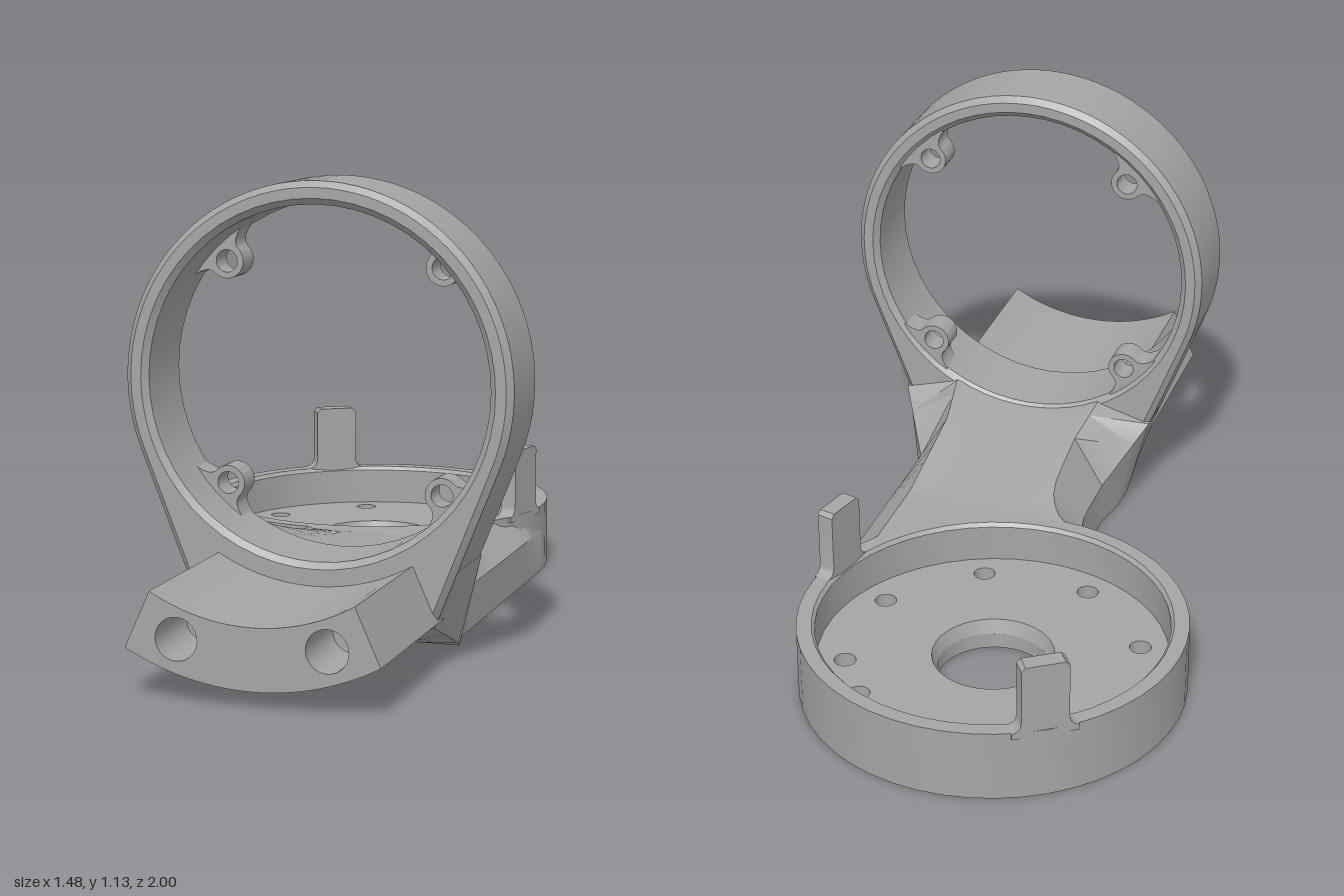
import * as THREE from 'three';
import { toCreasedNormals } from 'three/addons/utils/BufferGeometryUtils.js';

const grey = new THREE.MeshStandardMaterial({ color: 0xa5a5a5 });
grey.name = 'machined grey';

const clamp01 = (v) => Math.min(1, Math.max(0, v));
const lerp = THREE.MathUtils.lerp;

function part(name, geometry, parent) {
  const mesh = new THREE.Mesh(toCreasedNormals(geometry, 0.5), grey);
  mesh.name = name;
  parent.add(mesh);
  return mesh;
}

function circle(x, y, r, Type = THREE.Path) {
  const p = new Type();
  p.absarc(x, y, r, 0, Math.PI * 2, false);
  return p;
}

// Extrude a shape along z, from z0 to z1
function slab(shape, z0, z1, segments = 24) {
  return new THREE.ExtrudeGeometry(shape, { depth: z1 - z0, bevelEnabled: false, curveSegments: segments })
    .translate(0, 0, z0);
}

const RING_Y = 0.66;          // height of the ring axis
const DISC = { x: -0.2175, z: -1.038 }; // cup axis in the arm's own frame

// Shallow cup with drilled floor and two upright posts
function buildCup() {
  const cup = new THREE.Group();
  cup.name = 'cup';
  const wall = [[0.431, 0], [0.475, 0], [0.475, 0.18], [0.438, 0.18], [0.43, 0.17], [0.43, 0.02]]
    .map(([x, y]) => new THREE.Vector2(x, y));
  part('cupWall', new THREE.LatheGeometry(wall, 48), cup);

  const floorLayer = (y0, y1, centreR, blind) => {
    const s = circle(0, 0, 0.432, THREE.Shape);
    s.holes.push(circle(0, 0, centreR));
    for (let i = 0; i < 8; i++) {
      const a = 0.083 - i * Math.PI / 4;
      s.holes.push(circle(0.36 * Math.sin(a), 0.36 * Math.cos(a), 0.027));
    }
    if (blind) s.holes.push(circle(0.16, 0.32, 0.027));
    return slab(s, y0, y1).rotateX(-Math.PI / 2);
  };
  part('cupFloorLower', floorLayer(0, 0.04, 0.137, false), cup);
  part('cupFloorUpper', floorLayer(0.04, 0.075, 0.15, true), cup);
  const chamfer = [new THREE.Vector2(0.15, 0.075), new THREE.Vector2(0.137, 0.04)];
  part('centreHoleChamfer', new THREE.LatheGeometry(chamfer, 40), cup);

  // Post: flared foot, chamfered top
  const post = new THREE.Shape();
  post.moveTo(-0.08, 0.165);
  post.lineTo(0.08, 0.165);
  post.lineTo(0.08, 0.18);
  post.quadraticCurveTo(0.057, 0.183, 0.057, 0.21);
  post.lineTo(0.057, 0.345);
  post.lineTo(0.047, 0.355);
  post.lineTo(-0.047, 0.355);
  post.lineTo(-0.057, 0.345);
  post.lineTo(-0.057, 0.21);
  post.quadraticCurveTo(-0.057, 0.183, -0.08, 0.18);
  for (const [dx, dz] of [[-0.35, -0.28], [0.45, -0.03]]) {
    part('post', slab(post, 0.431, 0.473, 6), cup).rotation.y = Math.atan2(dx, dz);
  }
  return cup;
}

// Cross-section of the arm at depth z, counter-clockwise seen from the front
function armSection(z) {
  const N = 10;
  const inDisc = z < -0.584;
  const m = clamp01((z + 0.25) / 0.14);    // gusset widening towards the ring
  const kTop = clamp01((z + 0.54) / 0.43); // top turns from flat to hollow
  const kBot = clamp01((z + 0.16) / 0.27); // underside turns from flat to round
  const fillet = 0.0875 * (1 - clamp01((z + 0.58) / 0.22)) ** 3;
  const dz = z - DISC.z;
  const left = inDisc ? DISC.x + Math.sqrt(Math.max(0, 0.455 ** 2 - dz * dz)) : -0.2575 - fillet;
  const topL = inDisc ? left : left + 0.0775 - 0.02 * m;
  const topR = Math.max(0.18 + 0.02 * m, topL + 0.001);
  const pts = [];
  for (let i = 0; i <= N; i++) {
    const x = lerp(left - 0.03 * m, 0.2575 + 0.03 * m, i / N);
    pts.push([x, lerp(0, RING_Y - Math.sqrt(0.62 ** 2 - x * x), kBot), z]);
  }
  const shoulderY = 0.11 + 0.13 * m;
  pts.push([0.2575 + 0.0875 * m, shoulderY, z]);
  for (let i = 0; i <= N; i++) {
    const x = lerp(topR, topL, i / N);
    pts.push([x, lerp(0.18, RING_Y - Math.sqrt(0.428 ** 2 - x * x), kTop), z]);
  }
  pts.push([left - 0.0875 * m, shoulderY, z]);
  return pts;
}

function armGeometry() {
  const depths = [-1.036, -0.98, -0.92, -0.86, -0.8, -0.74, -0.69, -0.65, -0.62, -0.6, -0.586,
    -0.58, -0.565, -0.54, -0.51, -0.47, -0.42, -0.36, -0.25, -0.16, -0.11, 0, 0.09];
  const rows = depths.map(armSection);
  const pos = [];
  const n = rows[0].length;
  for (let i = 0; i < rows.length - 1; i++) {
    for (let j = 0; j < n; j++) {
      const k = (j + 1) % n;
      const [a, b, c, d] = [rows[i][j], rows[i][k], rows[i + 1][k], rows[i + 1][j]];
      pos.push(...a, ...b, ...c, ...a, ...c, ...d);
    }
  }
  const g = new THREE.BufferGeometry();
  g.setAttribute('position', new THREE.Float32BufferAttribute(pos, 3));
  return g;
}

// Upright ring on a tapering foot, with four screw lugs
function buildRing(parent) {
  const foot = 1.075, tangent = 0.377;
  const s = new THREE.Shape();
  s.moveTo(0.295, 0.115);
  s.absarc(0, RING_Y, 0.475, -tangent, Math.PI + tangent, false);
  s.lineTo(-0.295, 0.115);
  s.absarc(0, RING_Y, 0.62, Math.PI + foot, Math.PI * 2 - foot, false);
  s.holes.push(circle(0, RING_Y, 0.42));
  const g = new THREE.ExtrudeGeometry(s, {
    depth: 0.19, bevelThickness: 0.015, bevelSize: 0.015, bevelOffset: -0.015,
    bevelSegments: 1, curveSegments: 28,
  }).translate(0, 0, -0.095);
  part('ring', g, parent);

  const lug = new THREE.Shape();
  lug.moveTo(0.43, -0.085);
  lug.lineTo(0.43, 0.085);
  lug.lineTo(0.412, 0.085);
  lug.quadraticCurveTo(0.405, 0.042, 0.38, 0.042);
  lug.absarc(0.38, 0, 0.042, Math.PI / 2, Math.PI * 1.5, false);
  lug.quadraticCurveTo(0.405, -0.042, 0.412, -0.085);
  lug.holes.push(circle(0.38, 0, 0.027));
  for (let i = 0; i < 4; i++) {
    const mesh = part('screwLug', slab(lug, -0.1, -0.03, 10), parent);
    mesh.position.y = RING_Y;
    mesh.rotation.z = Math.PI / 4 + i * Math.PI / 2;
  }
}

// Curved front block with two blind holes
function buildBlock(parent) {
  const outline = () => {
    const s = new THREE.Shape();
    const low = Math.acos(0.3 / 0.62), high = Math.acos(0.24 / 0.475);
    s.absarc(0, RING_Y, 0.62, Math.PI + low, Math.PI * 2 - low, false);
    s.absarc(0, RING_Y, 0.475, -high, -Math.PI + high, true);
    return s;
  };
  part('blockRear', slab(outline(), 0.05, 0.35, 14), parent);
  const front = outline();
  for (const side of [-1, 1]) front.holes.push(circle(side * 0.177, 0.145, 0.05));
  part('blockFront', slab(front, 0.35, 0.537, 14), parent);
}

export function createModel() {
  const model = new THREE.Group();
  model.name = 'ringBracket';

  const cup = buildCup();
  cup.position.set(-0.27, 0, -0.53);
  model.add(cup);

  // Arm, ring and block share a frame turned about the vertical
  const holder = new THREE.Group();
  holder.name = 'ringHolder';
  holder.position.set(0.2575, 0, 0.39);
  holder.rotation.y = Math.PI / 10;
  part('arm', armGeometry(), holder);
  buildRing(holder);
  buildBlock(holder);
  model.add(holder);
  return model;
}
